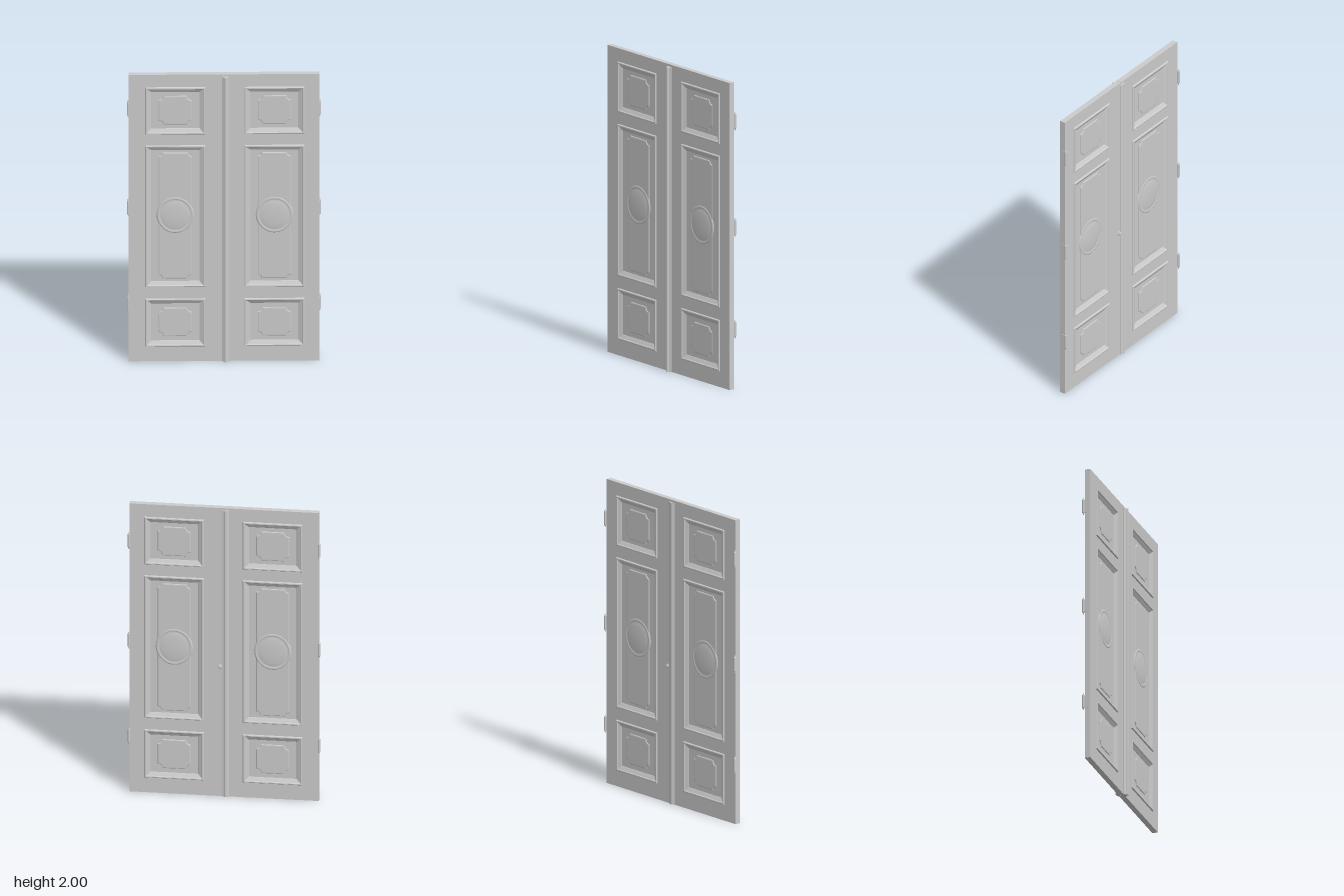
import * as THREE from 'three';

const mat = new THREE.MeshStandardMaterial({ color: 0xcccccc });
const flat = new THREE.MeshStandardMaterial({ color: 0xcccccc, flatShading: true });
const MID = -0.005;    // z of the middle of the leaves
const SLAB = 0.018;    // half thickness of the frame
const LIP = 0.026;     // half thickness at the moulding lip
const PANEL = 0.008;   // half thickness of the sunken panel

function add(parent, name, geometry, x = 0, y = 0, z = 0, material = mat) {
  const mesh = new THREE.Mesh(geometry, material);
  mesh.name = name;
  mesh.position.set(x, y, z);
  parent.add(mesh);
  return mesh;
}

// Rectangular moulding: a profile of [inset, height] swept round a w x h opening
function mouldingGeometry(w, h, profile) {
  const pos = [], index = [];
  for (const [inset, z] of profile) {
    const a = w / 2 - inset, b = h / 2 - inset;
    pos.push(-a, -b, z, a, -b, z, a, b, z, -a, b, z);
  }
  for (let r = 0; r < profile.length - 1; r++) {
    for (let i = 0; i < 4; i++) {
      const j = (i + 1) % 4, p = r * 4, q = p + 4;
      index.push(p + i, p + j, q + j, p + i, q + j, q + i);
    }
  }
  const g = new THREE.BufferGeometry();
  g.setAttribute('position', new THREE.Float32BufferAttribute(pos, 3));
  g.setIndex(index);
  const out = g.toNonIndexed();
  out.computeVertexNormals();
  return out;
}

// Raised field with scooped corners and a softly rounded border
function fieldGeometry(w, h, scoop) {
  const a = w / 2, b = h / 2, s = new THREE.Shape();
  s.moveTo(-a + scoop, -b);
  s.lineTo(a - scoop, -b);
  s.absarc(a, -b, scoop, Math.PI, Math.PI / 2, true);
  s.lineTo(a, b - scoop);
  s.absarc(a, b, scoop, -Math.PI / 2, -Math.PI, true);
  s.lineTo(-a + scoop, b);
  s.absarc(-a, b, scoop, 0, -Math.PI / 2, true);
  s.lineTo(-a, -b + scoop);
  s.absarc(-a, -b, scoop, Math.PI / 2, 0, true);
  return new THREE.ExtrudeGeometry(s, {
    depth: 0.001, bevelThickness: 0.004, bevelSize: 0.008, bevelOffset: -0.008,
    bevelSegments: 3, curveSegments: 8,
  });
}

// Oval boss: rounded rim, shallow groove and domed centre
function ovalGeometry(rx, ry) {
  const profile = [[1, 0], [0.97, 0.005], [0.91, 0.008], [0.85, 0.006], [0.81, 0.004],
    [0.76, 0.006], [0.6, 0.009], [0.3, 0.011], [0, 0.0115]];
  const g = new THREE.LatheGeometry(profile.map(([r, z]) => new THREE.Vector2(r * rx, z)), 48);
  g.rotateX(Math.PI / 2);
  g.scale(1, ry / rx, 1);
  return g;
}

// One panel, dressed alike on both faces
function buildPanel(w, h, tall) {
  const panel = new THREE.Group();
  panel.name = tall ? 'tallPanel' : 'smallPanel';
  add(panel, 'panelBoard', new THREE.BoxGeometry(w, h, PANEL * 2));
  for (const turn of [0, Math.PI]) {
    const face = new THREE.Group();
    face.name = turn ? 'panelBack' : 'panelFront';
    face.rotation.y = turn;
    panel.add(face);
    add(face, 'moulding', mouldingGeometry(w, h, [
      [-0.003, SLAB - 0.001], [0, LIP - 0.002], [0.003, LIP], [0.009, LIP],
      [0.013, LIP - 0.005], [0.034, PANEL + 0.002], [0.036, PANEL],
    ]));
    add(face, 'raisedField', fieldGeometry(0.21, tall ? 0.88 : 0.2, tall ? 0.025 : 0.03), 0, 0, PANEL);
    if (tall) add(face, 'ovalBoss', ovalGeometry(0.118, 0.128), 0, 0.005, PANEL);
  }
  return panel;
}

function buildHinge(side, y) {
  const hinge = new THREE.Group();
  hinge.name = 'hinge';
  hinge.position.set(side * 0.602, y, -0.031);
  // knuckle with a tapered finial at each end
  const points = [[0, -0.06], [0.003, -0.057], [0.005, -0.048], [0.008, -0.045], [0.008, 0.045],
    [0.005, 0.048], [0.003, 0.057], [0, 0.06]].map(([r, h]) => new THREE.Vector2(r, h));
  add(hinge, 'knuckle', new THREE.LatheGeometry(points, 12), 0, 0, 0, flat);
  add(hinge, 'hingeLeaf', new THREE.BoxGeometry(0.003, 0.085, 0.032), -side * 0.001, 0, 0.014);
  return hinge;
}

function buildDoor(side) {
  const door = new THREE.Group();
  door.name = side > 0 ? 'leftDoor' : 'rightDoor';
  const inner = side * 0.001, outer = side * 0.6;
  const x0 = Math.min(inner, outer), x1 = Math.max(inner, outer);
  const cx = side > 0 ? 0.317 : -0.307, w = 0.375;
  const rows = [[0.27, 0.33, false], [1.012, 0.985, true], [1.748, 0.325, false]];

  // frame of stiles and rails
  const s = new THREE.Shape();
  s.moveTo(x0, 0).lineTo(x1, 0).lineTo(x1, 2).lineTo(x0, 2).closePath();
  for (const [cy, h] of rows) {
    const a = w / 2 - 0.005, b = h / 2 - 0.005, hole = new THREE.Path();
    hole.moveTo(cx - a, cy - b).lineTo(cx - a, cy + b).lineTo(cx + a, cy + b).lineTo(cx + a, cy - b).closePath();
    s.holes.push(hole);
  }
  add(door, 'frame', new THREE.ExtrudeGeometry(s, { depth: SLAB * 2, bevelEnabled: false }), 0, 0, MID - SLAB);

  for (const [cy, h, tall] of rows) {
    const panel = buildPanel(w, h, tall);
    panel.position.set(cx, cy, MID);
    door.add(panel);
  }
  for (const y of [0.39, 1.055, 1.745]) door.add(buildHinge(side, y));
  return door;
}

// Meeting strip: [x, z] section run up the full height
function stripGeometry(section) {
  const s = new THREE.Shape(section.map(([x, z]) => new THREE.Vector2(x, -z)));
  const g = new THREE.ExtrudeGeometry(s, { depth: 1.985, bevelEnabled: false });
  g.rotateX(-Math.PI / 2);
  return g;
}

export function createModel() {
  const model = new THREE.Group();
  model.name = 'doubleDoor';
  model.add(buildDoor(-1), buildDoor(1));

  // strips covering the joint, with a rounded nose
  add(model, 'frontMeetingStrip', stripGeometry([[-0.014, 0.012], [-0.014, 0.018], [-0.005, 0.023],
    [0.001, 0.027], [0.003, 0.035], [0.01, 0.039], [0.017, 0.036], [0.021, 0.027],
    [0.031, 0.021], [0.031, 0.012]]));
  add(model, 'backMeetingStrip', stripGeometry([[-0.032, -0.022], [-0.032, -0.028], [-0.025, -0.032],
    [-0.018, -0.037], [-0.008, -0.037], [0, -0.032], [0.012, -0.029], [0.012, -0.022]]));

  // small turn knob on the back
  const knob = new THREE.LatheGeometry([[0.015, 0], [0.015, 0.003], [0.006, 0.004], [0.006, 0.007],
    [0.011, 0.009], [0.012, 0.013], [0.009, 0.016], [0, 0.017]].map(([r, h]) => new THREE.Vector2(r, h)), 20);
  knob.rotateX(-Math.PI / 2);
  add(model, 'knob', knob, 0.026, 0.9, -0.023);
  return model;
}
